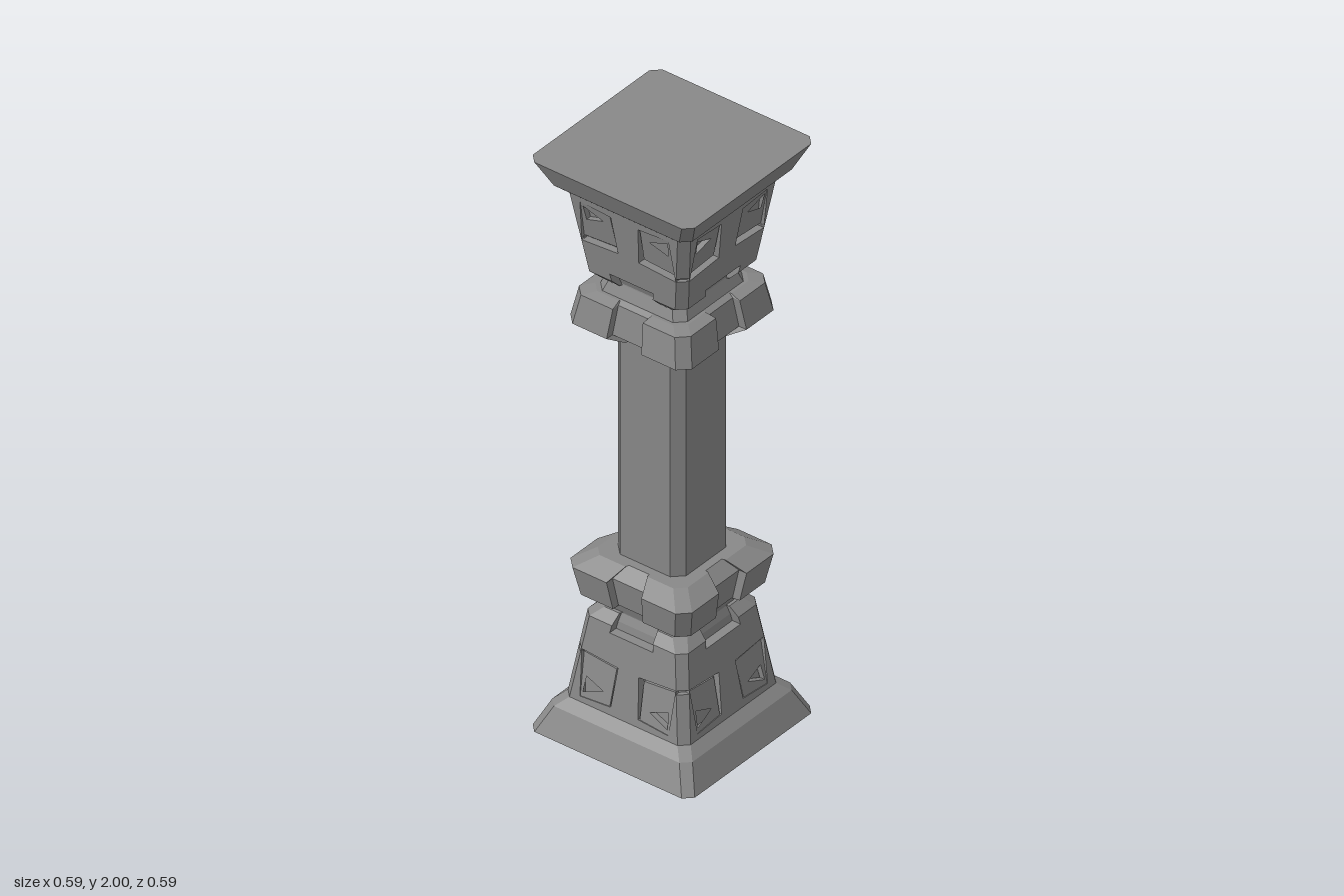
import * as THREE from 'three';

// Dark stone
const material = new THREE.MeshStandardMaterial({ color: 0x888888, flatShading: true });

// Square section with chamfered corners and an optional notch in the middle of each side
function section(y, half, chamfer, notch = 0, depth = 0) {
  const w = half - chamfer;
  const side = notch
    ? [[-w, half], [-notch, half], [-notch, half - depth], [notch, half - depth], [notch, half], [w, half]]
    : [[-w, half], [w, half]];
  const ring = [];
  for (let k = 0; k < 4; k++) {
    for (const [px, pz] of side) {
      let x = px, z = pz;
      for (let r = 0; r < k; r++) [x, z] = [z, -x];
      ring.push([x, y, z]);
    }
  }
  return ring;
}

// Closed solid through a stack of sections, listed from bottom to top
function loft(name, rings) {
  const pos = [];
  const tri = (a, b, c) => pos.push(...a, ...b, ...c);
  const n = rings[0].length;
  const first = rings[0], last = rings[rings.length - 1];
  for (let i = 0; i < n; i++) {
    const j = (i + 1) % n;
    for (let r = 0; r + 1 < rings.length; r++) {
      tri(rings[r][i], rings[r][j], rings[r + 1][j]);
      tri(rings[r][i], rings[r + 1][j], rings[r + 1][i]);
    }
    tri([0, first[0][1], 0], first[j], first[i]);
    tri([0, last[0][1], 0], last[i], last[j]);
  }
  const geo = new THREE.BufferGeometry();
  geo.setAttribute('position', new THREE.Float32BufferAttribute(pos, 3));
  geo.computeVertexNormals();
  const mesh = new THREE.Mesh(geo, material);
  mesh.name = name;
  return mesh;
}

// Tapered body: half width at a height
const Y0 = 0.11, Y1 = 0.37, CH = 0.027, PLATE = 0.025;
const bodyHalf = (y) => 0.225 - 0.145 * (y - 0.115);

// Extruded slab laid on the sloping body face, sunk by sink(y)
function faceSlab(name, outline, holes, thickness, sink) {
  const toPath = (pts, Type) => new Type(pts.map(([x, y]) => new THREE.Vector2(x, y)));
  const shape = toPath(outline, THREE.Shape);
  shape.holes = holes.map((h) => toPath(h, THREE.Path));
  const geo = new THREE.ExtrudeGeometry(shape, { depth: thickness, bevelEnabled: false });
  const p = geo.attributes.position;
  for (let i = 0; i < p.count; i++) {
    const y = p.getY(i);
    p.setZ(i, bodyHalf(y) - thickness + p.getZ(i) - sink(y));
  }
  geo.computeVertexNormals();
  const mesh = new THREE.Mesh(geo, material);
  mesh.name = name;
  return mesh;
}

// One carved face: plate with two openings, each holding a tilted panel with a triangular pit
function carvedFace() {
  const face = new THREE.Group();
  face.name = 'carvedFace';
  const opening = [[0.05, 0.14], [0.162, 0.132], [0.172, 0.282], [0.038, 0.272]];
  const panel = [[0.055, 0.14], [0.162, 0.132], [0.171, 0.269], [0.05, 0.259]];
  const pit = [[0.155, 0.147], [0.15, 0.198], [0.085, 0.175]];
  const flip = (pts) => pts.map(([x, y]) => [-x, y]);
  const w0 = bodyHalf(Y0) - CH, w1 = bodyHalf(Y1) - CH;
  face.add(faceSlab('facePlate', [[-w0, Y0], [w0, Y0], [w1, Y1], [-w1, Y1]],
    [opening, flip(opening)], PLATE, () => 0));
  const sink = (y) => 0.002 + 0.01 * (y - 0.132) / 0.135;
  for (const m of [(p) => p, flip]) {
    face.add(faceSlab('recessedPanel', m(panel), [m(pit)], 0.018, sink));
  }
  return face;
}

// Plinth, carved body, neck and collar
function columnEnd(name) {
  const end = new THREE.Group();
  end.name = name;
  end.add(loft('plinth', [
    section(0, 0.297, 0.027), section(0.086, 0.257, 0.027), section(0.115, 0.225, 0.027),
  ]));
  // Body core keeps the corners, leaves room for the face plates, and has a thin groove round each corner
  const core = (y, inset) => {
    const half = bodyHalf(y) - inset;
    return section(y, half, CH, half - CH, PLATE - inset);
  };
  end.add(loft('bodyCore', [
    core(Y0, 0), core(0.27, 0), core(0.273, 0.006), core(0.279, 0.006), core(0.282, 0), core(Y1, 0),
  ]));
  for (let k = 0; k < 4; k++) {
    const face = carvedFace();
    face.rotation.y = k * Math.PI / 2;
    end.add(face);
  }
  end.add(loft('bodyShoulder', [
    section(Y1, bodyHalf(Y1), CH, 0.08, 0.03),
    section(0.395, bodyHalf(0.395), CH, 0.075, 0.03),
    section(0.425, 0.155, 0.03, 0.07, 0.012),
  ]));
  end.add(loft('neck', [section(0.4, 0.14, 0.03), section(0.425, 0.145, 0.03), section(0.48, 0.165, 0.03)]));
  // Collar of four corner blocks with a sunken block between them
  end.add(loft('collar', [
    section(0.465, 0.17, 0.03, 0.06, 0.008),
    section(0.474, 0.205, 0.033, 0.055, 0.026),
    section(0.572, 0.223, 0.034, 0.064, 0.028),
    section(0.607, 0.165, 0.03, 0.04, 0.012),
  ]));
  return end;
}

export function createModel() {
  const model = new THREE.Group();
  model.name = 'column';
  model.add(loft('shaft', [section(0.55, 0.125, 0.033), section(1.45, 0.125, 0.033)]));
  model.add(columnEnd('base'));
  // The capital is the base turned upside down
  const capital = columnEnd('capital');
  capital.rotation.x = Math.PI;
  capital.position.y = 2;
  model.add(capital);
  return model;
}
